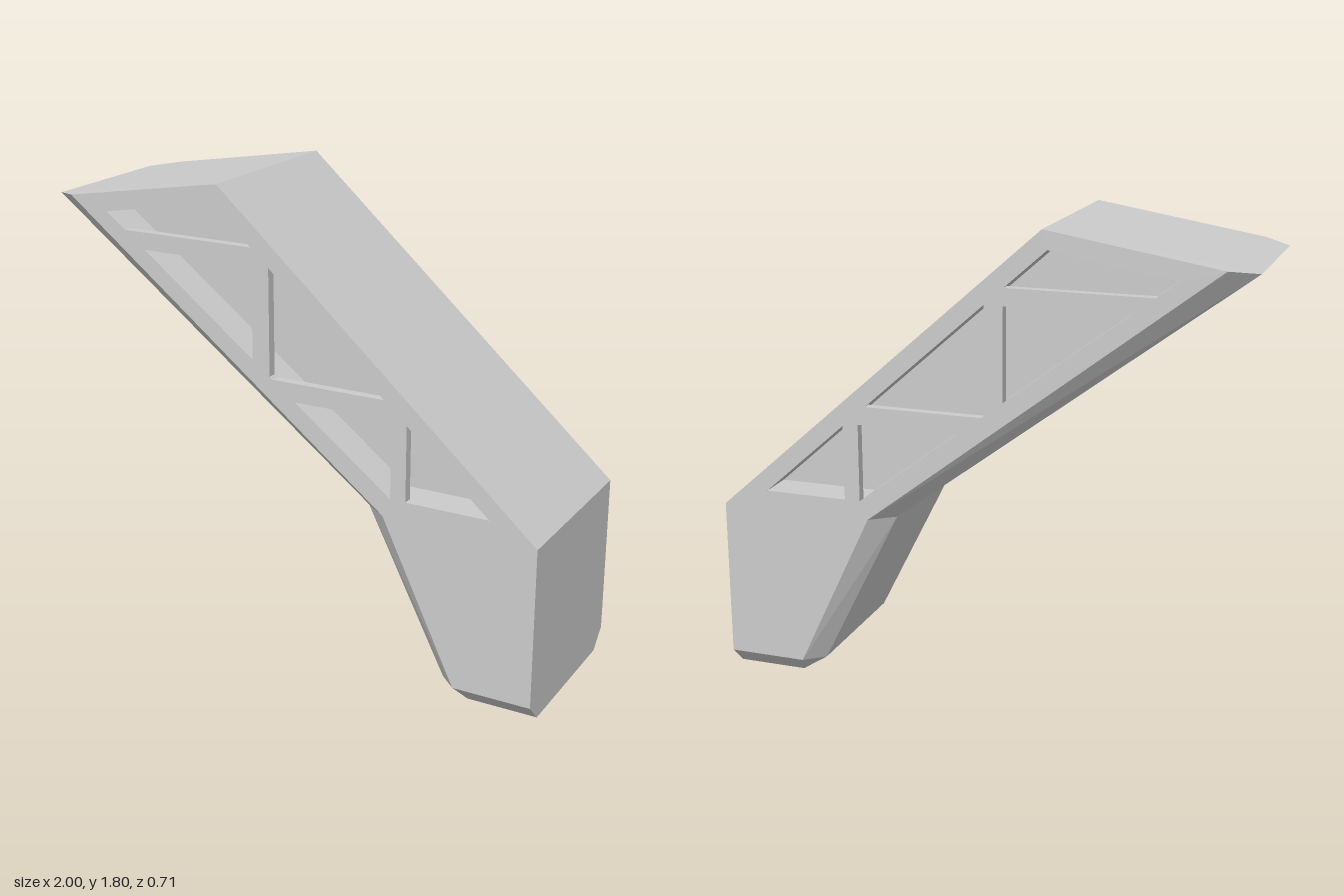
import * as THREE from 'three';

const HALF = 0.355;      // half depth of the bracket
const CHAMFER_Z = 0.285; // where the chamfer starts
const FLOOR_Z = 0.215;   // pocket floor
const BAR = 0.035;       // lattice bar thickness

// Outlines in x, y. The first two run counterclockwise and match point for point.
const outline = [[-1, 1.68], [0.32, 0.68], [0.63, 0.065], [0.73, 0], [1, 0], [1, 0.68], [-0.26, 1.8]];
const faceLine = [[-0.9, 1.695], [0.41, 0.68], [0.7, 0.07], [0.7, 0.07], [1, 0.07], [1, 0.68], [-0.26, 1.8]];
// Clockwise, so that its walls face inwards
const pocket = [[-0.74, 1.65], [-0.28, 1.73], [0.82, 0.75], [0.44, 0.75]];

// Collects flat triangles; side = -1 mirrors them to the back
function builder() {
  const pos = [];
  const tri = (a, b, c, side) => {
    for (const p of side > 0 ? [a, b, c] : [a, c, b]) pos.push(p[0], p[1], p[2] * side);
  };
  return {
    // Band of quads between two matching loops
    band(a, za, b, zb, side = 1) {
      a.forEach((p, i) => {
        const j = (i + 1) % a.length;
        const p0 = [...p, za], p1 = [...a[j], za], p2 = [...b[j], zb], p3 = [...b[i], zb];
        tri(p0, p1, p2, side);
        if (b[i] + '' !== b[j] + '') tri(p0, p2, p3, side);
      });
    },
    // Flat face towards +z, with an optional hole
    cap(loop, z, side, hole) {
      const unique = loop.filter((p, i) => i === 0 || p + '' !== loop[i - 1] + '');
      const v2 = (l) => l.map((p) => new THREE.Vector2(...p));
      const all = hole ? [...unique, ...hole] : unique;
      for (const f of THREE.ShapeUtils.triangulateShape(v2(unique), hole ? [v2(hole)] : [])) {
        const [a, b, c] = f.map((i) => [...all[i], z]);
        const ccw = (b[0] - a[0]) * (c[1] - a[1]) - (b[1] - a[1]) * (c[0] - a[0]) > 0;
        if (ccw) tri(a, b, c, side);
        else tri(a, c, b, side);
      }
    },
    geometry() {
      const g = new THREE.BufferGeometry();
      g.setAttribute('position', new THREE.Float32BufferAttribute(pos, 3));
      g.computeVertexNormals();
      return g;
    },
  };
}

// Pocket edges: x on the lower or upper slope at height y, and the reverse
const [topLeft, topRight, lowRight, lowLeft] = pocket;
const xAt = (a, b, y) => a[0] + ((b[0] - a[0]) * (y - a[1])) / (b[1] - a[1]);
const yAt = (a, b, x) => a[1] + ((b[1] - a[1]) * (x - a[0])) / (b[0] - a[0]);
const lowX = (y) => xAt(topLeft, lowLeft, y);
const highX = (y) => xAt(topRight, lowRight, y);
const lowY = (x) => Math.max(yAt(topLeft, lowLeft, x), lowLeft[1]);

const crossBar = (y0, y1) => [[lowX(y0), y0], [highX(y0), y0], [highX(y1), y1], [lowX(y1), y1]];
const postBar = (x0, x1, top) => [[x0, lowY(x0)], [x1, lowY(x1)], [x1, top], [x0, top]];

export function createModel() {
  const group = new THREE.Group();
  const material = new THREE.MeshStandardMaterial({ color: 0xcccccc, flatShading: true });

  // Body with chamfered underside and a pocket in both sides
  const body = builder();
  body.band(outline, -CHAMFER_Z, outline, CHAMFER_Z);
  for (const side of [1, -1]) {
    body.band(outline, CHAMFER_Z, faceLine, HALF, side);
    body.cap(faceLine, HALF, side, pocket);
    body.band(pocket, FLOOR_Z, pocket, HALF, side);
    body.cap(pocket, FLOOR_Z, side);
  }
  const bodyMesh = new THREE.Mesh(body.geometry(), material);
  bodyMesh.name = 'bracketBody';
  group.add(bodyMesh);

  // Thin lattice bars, flush with each side
  const bars = [
    ['upperCrossBar', crossBar(1.525, 1.59)],
    ['upperPost', postBar(-0.12, -0.05, 1.525)],
    ['lowerCrossBar', crossBar(1.045, 1.115)],
    ['lowerPost', postBar(0.44, 0.5, 1.045)],
  ];
  for (const side of [1, -1]) {
    const lattice = new THREE.Group();
    lattice.name = side > 0 ? 'frontLattice' : 'backLattice';
    for (const [name, points] of bars) {
      const shape = new THREE.Shape(points.map((p) => new THREE.Vector2(...p)));
      const geometry = new THREE.ExtrudeGeometry(shape, { depth: BAR, bevelEnabled: false });
      geometry.translate(0, 0, side > 0 ? HALF - BAR : -HALF);
      const bar = new THREE.Mesh(geometry, material);
      bar.name = name;
      lattice.add(bar);
    }
    group.add(lattice);
  }
  return group;
}
